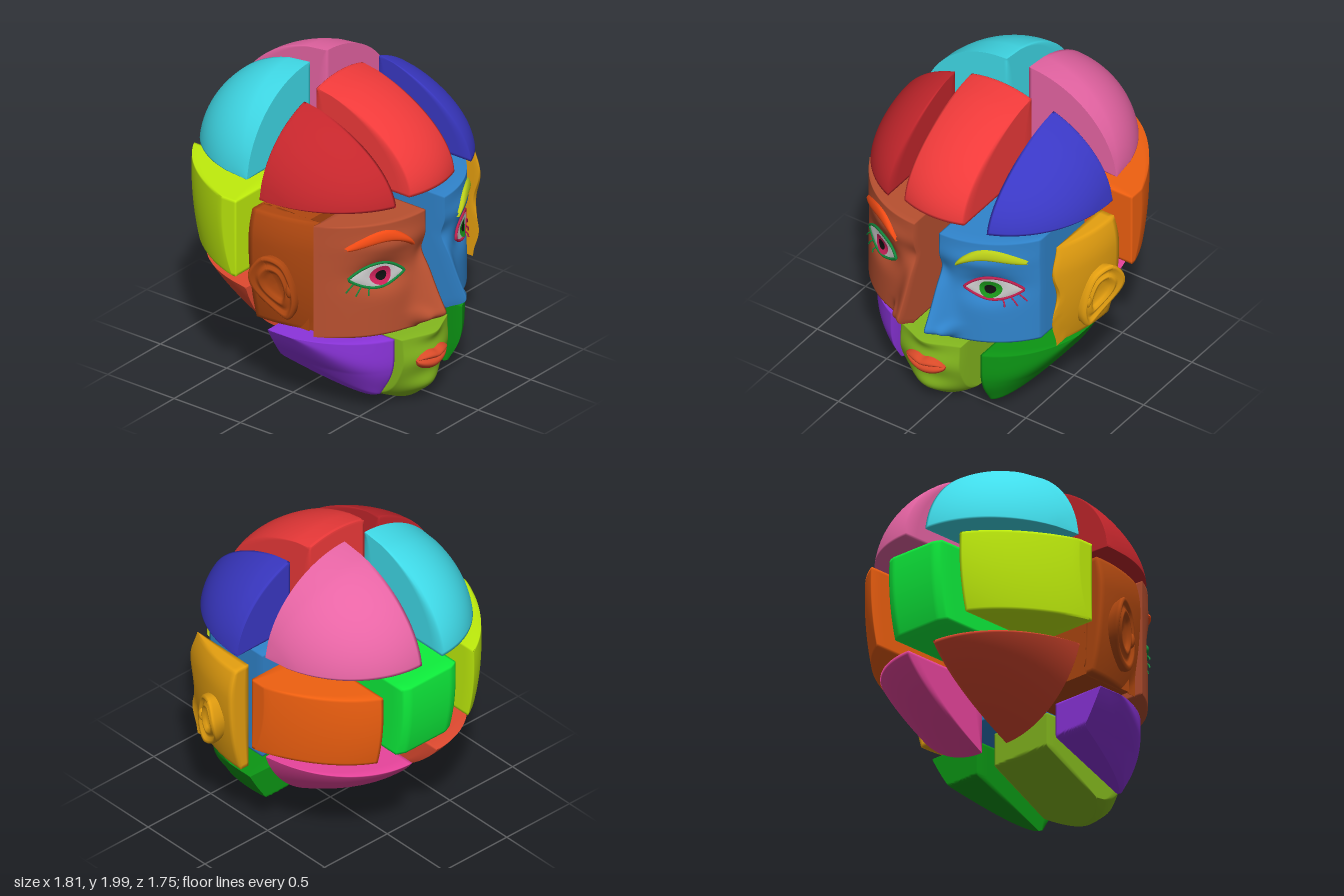
import * as THREE from 'three';
import { mergeVertices } from 'three/addons/utils/BufferGeometryUtils.js';

const { sin, cos, sqrt, abs, exp, max, min, PI } = Math;
const lerp = THREE.MathUtils.lerp, step = THREE.MathUtils.smoothstep;
const root = (v) => sqrt(max(0, 1 - v * v));
const bump = (x, y, cx, cy, sx, sy) => exp(-(((x - cx) / sx) ** 2) - ((y - cy) / sy) ** 2);

function mesh(name, color, geometry, side = THREE.FrontSide) {
  const m = new THREE.Mesh(geometry, new THREE.MeshStandardMaterial({ color, side }));
  m.name = name;
  return m;
}

// A unit box whose vertices are moved by rule(a, b, c), each in 0..1; shaded softly over its edges
function block(name, color, n, m, k, rule) {
  const g = new THREE.BoxGeometry(1, 1, 1, n, m, k);
  const p = g.attributes.position;
  for (let i = 0; i < p.count; i++)
    p.setXYZ(i, ...rule(p.getX(i) + 0.5, p.getY(i) + 0.5, p.getZ(i) + 0.5));
  g.deleteAttribute('uv');
  g.deleteAttribute('normal');
  const soft = mergeVertices(g);
  soft.computeVertexNormals();
  return mesh(name, color, soft);
}

// Solid cut from the head: x range, lower/upper edge over x, back/front depth over (x, y)
function chunk(name, color, [dx, dy], [x0, x1], lo, hi, back, front, n = 30) {
  const m = block(name, color, n, n, 8, (a, b, c) => {
    const x = lerp(x0, x1, a), bottom = lo(x);
    const y = lerp(bottom, max(bottom + 0.001, hi(x)), b);
    return [x, y, lerp(back(x, y), front(x, y), c)];
  });
  m.position.set(dx, dy, 0);
  return m;
}

// Open sheet from fn(u, v), both in 0..1
function sheet(name, color, nu, nv, fn, flip = false) {
  const g = new THREE.PlaneGeometry(1, 1, nu, nv);
  const p = g.attributes.position;
  for (let i = 0; i < p.count; i++) {
    const u = p.getX(i) + 0.5;
    p.setXYZ(i, ...fn(flip ? 1 - u : u, p.getY(i) + 0.5));
  }
  g.computeVertexNormals();
  return mesh(name, color, g, THREE.DoubleSide);
}

function tube(name, color, pts, r, closed = false) {
  const curve = new THREE.CatmullRomCurve3(pts.map((p) => new THREE.Vector3(...p)), closed);
  return mesh(name, color, new THREE.TubeGeometry(curve, closed ? 64 : 10, r, 6, closed));
}

// Rounded skull surface: half width a, centre height cy, rise b, depth c, fall-off k
const dome = (a, cy, b, c, k) => ({
  edge: (x, sign = 1) => cy + sign * b * root(x / a),
  depth: (x, y) => {
    const r = root(x / a), t = (y - cy) / (b * r + 1e-6);
    return c * r * max(0, 1 - t * t) ** k;
  },
});
const CUT = 0.215;

function skull(group) {
  // Forehead and front crown
  const front = dome(0.64, 1.38, 0.555, 0.72, 0.69);
  const fore = (name, color, off, xs, low) => group.add(chunk(name, color, off, xs, () => low,
    (x) => front.edge(x), () => -0.02, (x, y) => max(-0.019, front.depth(x, y))));
  fore('foreheadRight', 0xc4262c, [-0.155, -0.02], [-0.637, -CUT], 1.42);
  fore('foreheadCentre', 0xf03a3a, [-0.035, 0.02], [-CUT, CUT], 1.4);
  fore('foreheadLeft', 0x3a38c4, [0.125, 0], [CUT, 0.637], 1.42);

  // Back pieces reach from a flat front face to the outer surface
  const rear = (name, color, off, xs, lo, hi, d) => group.add(chunk(name, color, off, xs, lo, hi,
    (x, y) => -0.181 - d.depth(x, y), () => -0.18));
  const crown = (name, color, off, s, a) => {
    const d = dome(a, 1.4, 0.6, 0.685, 0.53), x = a - 0.003;
    rear(name, color, off, s < 0 ? [-x, 0] : [0, x], () => 1.46, (q) => d.edge(q), d);
  };
  crown('crownRight', 0x40dcea, [-0.11, -0.01], -1, 0.605);
  crown('crownLeft', 0xe865a5, [0.05, 0], 1, 0.635);

  const middle = {
    depth: (x, y) => {
      const r = root((y - 1.25) / 1.05);
      return r * min(0.69, 0.72 * max(0, 1 - (x / (0.69 * sqrt(r))) ** 2) ** 0.75);
    },
  };
  const bottom = () => 0.855, top = () => 1.355;
  rear('backRight', 0xc0ee0c, [-0.16, -0.005], [-0.66, -CUT], bottom, top, middle);
  rear('backCentre', 0x0ef03c, [-0.015, -0.01], [-CUT, CUT], bottom, top, middle);
  rear('backLeft', 0xf06010, [0.13, 0], [CUT, 0.66], bottom, top, middle);

  const nape = dome(0.635, 0.95, 0.67, 0.7, 1);
  const low = (x) => nape.edge(x, -1), napeTop = () => 0.735;
  rear('napeRight', 0xe04a30, [-0.12, 0], [-0.598, 0], low, napeTop, nape);
  rear('napeLeft', 0xe8449c, [0.08, 0], [0, 0.598], low, napeTop, nape);
}

// Face relief, even in x: socket, brow ridge, nose, nostril wing
function faceZ(px, y) {
  const x = abs(px), t = min(1, max(0, (1.08 - y) / 0.38));
  const nose = 0.16 * t ** 1.4 * exp(-((x / (0.04 + 0.05 * t)) ** 2)) * step(y, 0.57, 0.69);
  return 0.72 * root(x / 0.66) + nose
    - 0.07 * bump(x, y, 0.29, 0.98, 0.14, 0.09) + 0.02 * bump(x, y, 0.25, 1.18, 0.2, 0.06)
    - 0.03 * bump(x, y, 0, 1.06, 0.08, 0.08) + 0.05 * bump(x, y, 0.09, 0.66, 0.035, 0.05)
    - 0.03 * bump(x, y, 0.055, 0.61, 0.02, 0.02);
}

function facePiece(group, s, name, color, dx, dy, width, back, brow, iris, lid) {
  const g = new THREE.Group();
  g.name = name;
  const xs = s > 0 ? [0, width] : [-width, 0];
  g.add(chunk('faceBlock', color, [0, 0], xs, () => 0.59, () => 1.325,
    () => back, (x, y) => max(back + 0.002, faceZ(x, y)), 64));
  const on = (x, y, lift) => [s * x, y, faceZ(x, y) + lift];
  const flip = s < 0;

  // Eyebrow
  g.add(sheet('eyebrow', brow, 28, 10, (u, v) => {
    const w = 2 * v - 1, half = 0.037 * max(0, sin(PI * (0.04 + 0.95 * u))) ** 0.4;
    return on(lerp(0.125, 0.485, u), 1.155 + 0.08 * sin(PI * u ** 0.85) + 0.02 * u + w * half, 0.024 * root(w) - 0.002);
  }, flip));

  // Almond eye, iris and pupil
  const eyeX = (u) => lerp(0.155, 0.465, u);
  const eyeY = (u, w) => 0.975 + w * (w > 0 ? 0.085 : 0.075) * max(0, sin(PI * u)) ** 0.8;
  g.add(sheet('eyeWhite', 0xe8e8e8, 28, 14, (u, v) => {
    const w = 2 * v - 1;
    return on(eyeX(u), eyeY(u, w), 0.01 + 0.03 * sin(PI * u) * (1 - w * w));
  }, flip));
  const disc = (part, c, r, lift) => g.add(sheet(part, c, 24, 4, (u, v) => {
    const q = r * (1 - v), a = -2 * PI * u;
    return on(0.3 + q * cos(a), 0.98 + q * sin(a), lift - 2.5 * q * q);
  }, !flip));
  disc('iris', iris, 0.062, 0.047);
  disc('pupil', 0x101010, 0.032, 0.051);

  // Eyelid rim and lashes
  const rim = [];
  for (let i = 0; i < 32; i++) {
    const u = i < 16 ? i / 16 : 2 - i / 16;
    rim.push(on(eyeX(u), eyeY(u, i < 16 ? 1 : -1), 0.012));
  }
  g.add(tube('eyelidRim', lid, rim, 0.009, true));
  for (const [x, y, ex, ey] of [[0.36, 0.91, 0.385, 0.865], [0.4, 0.925, 0.445, 0.87], [0.435, 0.95, 0.485, 0.895]])
    g.add(tube('eyelash', lid, [on(x, y, 0.012), on((x + ex) / 2 + 0.008, (y + ey) / 2, 0.022), on(ex, ey, 0.022)], 0.005));
  g.position.set(dx, dy, 0);
  group.add(g);
}

function earPiece(group, s, name, color, dz) {
  const g = new THREE.Group();
  g.name = name;
  const side = (y, z) => 0.81 - (y > 1.12 ? 1 : 0.27) * (y - 1.12) ** 2 - 0.55 * z * z;
  // Slab of the temple and cheek with a wavy front edge
  g.add(block('templeSlab', color, 4, 30, 14, (a, b, c) => {
    const y = lerp(0.58, 1.315, b);
    const z = lerp(-0.02, 0.45 - 0.022 * cos((2 * PI * (y - 0.58)) / 0.37), c);
    const out = max(0.672, side(y, z));
    return [s > 0 ? lerp(0.67, out, a) : lerp(-out, -0.67, a), y, z];
  }));

  // Ear: rings of one outline, from the root over the rim into the hollow
  const outline = new THREE.CatmullRomCurve3([[0.12, 1.07], [0.045, 0.96], [0.06, 0.83], [0.15, 0.71],
    [0.25, 0.66], [0.295, 0.75], [0.28, 0.92], [0.22, 1.04]].map(([z, y]) => new THREE.Vector3(0, y, z)), true);
  const rings = [[0.85, -0.16], [0.95, -0.06], [1, -0.025], [1, -0.005], [0.94, 0.006], [0.86, 0.002],
    [0.78, -0.014], [0.68, -0.016], [0.6, -0.002], [0.52, -0.002], [0.44, -0.022], [0.32, -0.035], [0, -0.04]];
  g.add(sheet('ear', color, 48, rings.length - 1, (u, v) => {
    const [k, depth] = rings[Math.round(v * (rings.length - 1))];
    const p = outline.getPoint(u);
    const z = lerp(0.18, p.z, k), y = lerp(0.89, p.y, k);
    const crest = 0.775 + 0.125 * min(1, max(0, (0.32 - z) / 0.27)) * step(y, 0.55, 0.98);
    return [s * max(0.69, crest + depth), y, z];
  }, s > 0));
  const tragus = mesh('tragus', color, new THREE.SphereGeometry(1, 16, 12));
  tragus.scale.set(0.03, 0.05, 0.025);
  tragus.position.set(s * 0.775, 0.86, 0.265);
  g.add(tragus);
  g.position.z = dz;
  group.add(g);
  return g;
}

function jaw(group) {
  // Front surface rises from the sloping underside
  const inner = (x) => abs(x) < CUT - 1e-6;
  const lowChin = (x) => 0.01 + 1.3 * x * x;
  const lowJaw = (x) => 0.07 + 0.41 * max(0, (abs(x) - CUT) / 0.37) ** 1.7;
  const underChin = (x, y) => max(-0.01, (0.265 - y) * 2.1);
  const underJaw = (x, y) => max(-0.01, (0.26 - y) * 2.7);
  const surface = (low, under) => (x, y) => {
    const s = min(1, max(0, (y - low(x)) / (0.481 - low(x)))), b = under(x, y);
    return b + 0.001 + max(0, 0.7 * root(x / 0.6) - b) * sqrt(1 - (1 - s) ** 5);
  };
  const jawZ = surface(lowJaw, underJaw), chinBase = surface(lowChin, underChin);
  const chinZ = (x, y) => chinBase(x, y) + 0.05 * bump(x, y, 0, 0.12, 0.16, 0.07)
    + 0.03 * bump(x, y, 0, 0.33, 0.2, 0.08) + 0.035 * bump(x, y, 0, 0.48, 0.1, 0.05);
  const top = () => 0.48;
  group.add(chunk('jawRight', 0x8c34dc, [-0.145, 0.035], [-0.583, -CUT], lowJaw, top, underJaw, jawZ));
  group.add(chunk('jawLeft', 0x0c9614, [0.065, 0], [CUT, 0.583], lowJaw, top, underJaw, jawZ));

  const chin = new THREE.Group();
  chin.name = 'chin';
  chin.add(chunk('chinBlock', 0x84b81e, [0, 0], [-CUT, CUT], lowChin, top, underChin, chinZ, 44));
  const lip = (name, lower, upper, swell) => chin.add(sheet(name, 0xd84a28, 32, 12, (u, v) => {
    const x = lerp(-0.14, 0.14, u), y = lerp(lower(x), upper(x), v);
    return [x, y, chinZ(x, y) + swell * max(0, sin(PI * v)) ** 0.6 * root(x / 0.145) - 0.001];
  }));
  const seam = (x) => 0.318 - 0.008 * cos(x * 22);
  lip('upperLip', seam, (x) => seam(x) + 0.068 * root(x / 0.14) ** 1.6 - 0.012 * bump(x, 0, 0, 0, 0.03, 1), 0.045);
  lip('lowerLip', (x) => seam(x) - 0.078 * root(x / 0.14), seam, 0.04);
  chin.position.x = -0.075;
  group.add(chin);
}

export function createModel() {
  const head = new THREE.Group();
  head.name = 'explodedHead';
  skull(head);
  facePiece(head, -1, 'faceRight', 0xb85030, -0.15, -0.01, 0.585, 0.34, 0xf04a14, 0xd8235f, 0x148a3c);
  facePiece(head, 1, 'faceLeft', 0x3084cc, 0.03, 0, 0.53, -0.02, 0xb8cc18, 0x1a9a1a, 0xc02050);
  earPiece(head, 1, 'earLeft', 0xe6a010, 0);
  // The right ear piece carries an inner block behind the face
  const core = mesh('innerBlock', 0xb04810, new THREE.BoxGeometry(0.54, 0.735, 0.36));
  core.position.set(-0.42, 0.9475, 0.16);
  earPiece(head, -1, 'earRight', 0xb04810, -0.07).add(core);
  jaw(head);
  return head;
}
